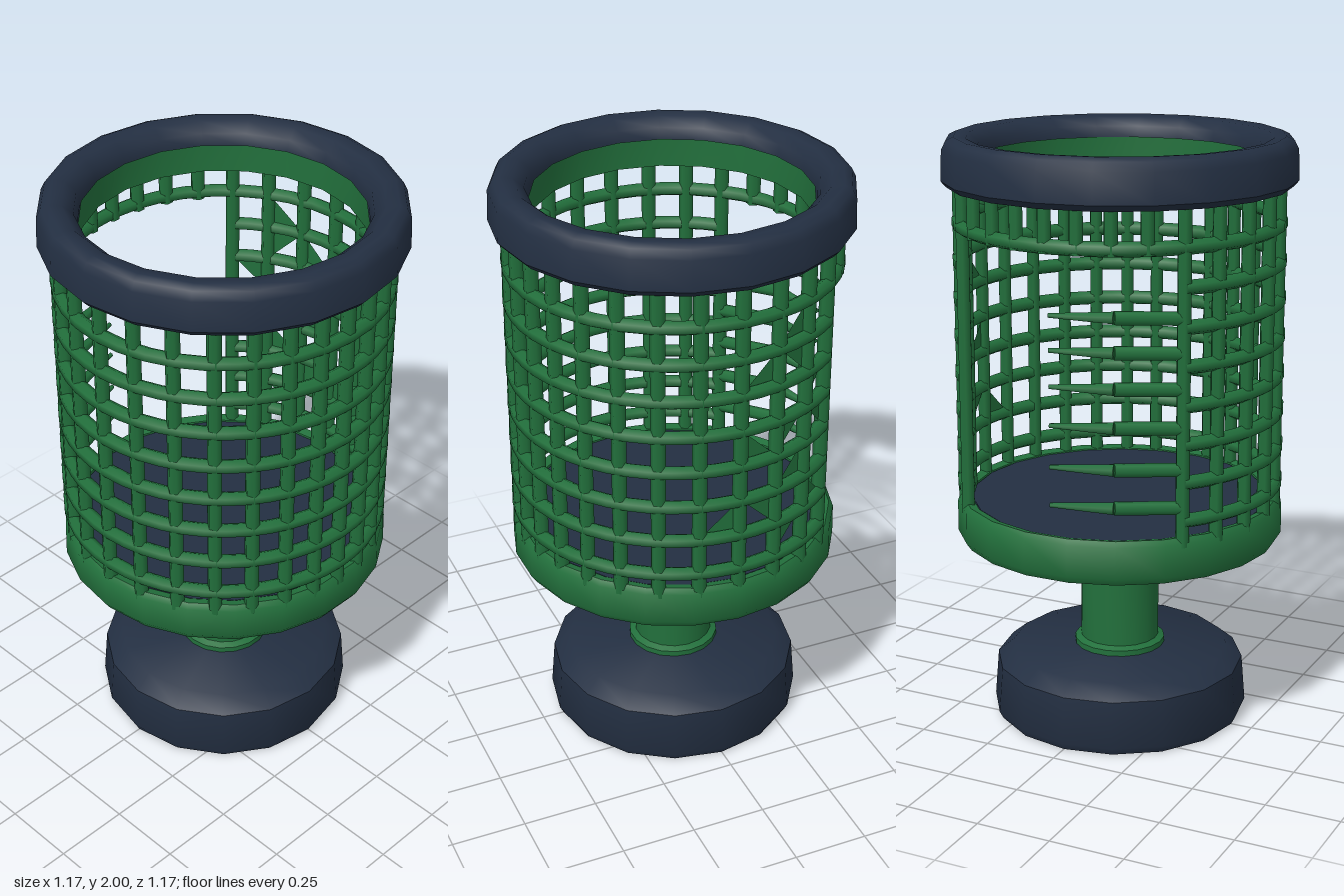
import * as THREE from 'three';
import { toCreasedNormals } from 'three/addons/utils/BufferGeometryUtils.js';

export function createModel() {
  const model = new THREE.Group();
  const navy = new THREE.MeshStandardMaterial({ color: 0x232f42 });
  navy.name = 'navy';
  const green = new THREE.MeshStandardMaterial({ color: 0x22703c });
  green.name = 'green';
  const greenSheet = new THREE.MeshStandardMaterial({ color: 0x22703c, side: THREE.DoubleSide });
  greenSheet.name = 'green sheet';

  const add = (name, geometry, material, parent = model) => {
    const mesh = new THREE.Mesh(geometry, material);
    mesh.name = name;
    parent.add(mesh);
    return mesh;
  };
  const lathe = (name, profile, sides, material) => {
    const points = profile.map(([r, y]) => new THREE.Vector2(r, y));
    return add(name, toCreasedNormals(new THREE.LatheGeometry(points, sides), 0.75), material);
  };
  // Angle 0 is the front, -90 degrees is the -x side
  const rad = THREE.MathUtils.degToRad;
  const around = (deg, r, y) => new THREE.Vector3(r * Math.sin(rad(deg)), y, r * Math.cos(rad(deg)));
  const bar = (name, a, b, rStart, rEnd, parent) => {
    const dir = b.clone().sub(a);
    const mesh = add(name, new THREE.CylinderGeometry(rEnd, rStart, dir.length(), 6), green, parent);
    mesh.position.copy(a).add(b).multiplyScalar(0.5);
    mesh.quaternion.setFromUnitVectors(new THREE.Vector3(0, 1, 0), dir.normalize());
    return mesh;
  };

  // Foot, stem and flanges
  lathe('foot', [[0, 0.005], [0.425, 0.005], [0.438, 0.03], [0.425, 0.19], [0.37, 0.235], [0, 0.245]], 16, navy);
  lathe('stem', [[0, 0.23], [0.155, 0.23], [0.155, 0.26], [0.134, 0.27], [0.134, 0.63],
    [0.152, 0.635], [0.152, 0.66], [0, 0.66]], 18, green);

  // Basket bottom and its inner floor
  lathe('basketTray', [[0, 0.645], [0.535, 0.645], [0.552, 0.67], [0.55, 0.775], [0.535, 0.792],
    [0.505, 0.785], [0.5, 0.74], [0, 0.74]], 22, green);
  lathe('basketFloor', [[0.51, 0.74], [0.5, 0.782], [0, 0.782]], 22, navy);

  // Top rim with a liner on the inside
  lathe('topRim', [[0.46, 1.85], [0.49, 1.84], [0.565, 1.84], [0.583, 1.86], [0.579, 1.96], [0.565, 1.988],
    [0.54, 2], [0.5, 1.995], [0.465, 1.965], [0.456, 1.92], [0.46, 1.85]], 20, navy);
  lathe('rimLiner', [[0.5, 1.835], [0.452, 1.835], [0.452, 1.93]], 20, greenSheet);

  // Wire basket, open in a window on the -x side
  const basket = new THREE.Group();
  basket.name = 'wireBasket';
  model.add(basket);
  const R = 0.525, wire = 0.024, count = 28;
  const barAngle = i => {
    const a = i * 360 / count;
    return a + 3.5 * Math.sin(rad(2 * a));
  };
  const rowY = j => 0.845 + 0.125 * j;
  for (let i = -13; i <= 14; i++) {
    const inWindow = i <= -4 && i >= -10;
    const a = barAngle(i);
    bar('uprightWire', around(a, R, inWindow ? 1.7 : 0.76), around(a, R, 1.86), wire, wire, basket);
  }

  // Horizontal wires
  class Arc extends THREE.Curve {
    constructor(from, to, y) { super(); Object.assign(this, { from, to, y }); }
    getPoint(t, target = new THREE.Vector3()) {
      return target.copy(around(this.from + (this.to - this.from) * t, R + 0.003, this.y));
    }
  }
  for (let j = 0; j < 8; j++) {
    const whole = j === 7;
    const curve = whole ? new Arc(-180, 180, rowY(j)) : new Arc(barAngle(-3), 360 + barAngle(-11), rowY(j));
    add('ringWire', new THREE.TubeGeometry(curve, 36, wire, 6, whole), green, basket);
  }

  // Broken wire ends reaching into the window
  for (const y of [0.9, 1.025, 1.16, 1.285, 1.4, 1.51]) {
    const root = around(barAngle(-3), R, y - 0.012);
    const middle = around(-66, R + 0.005, y);
    bar('brokenWire', root, middle, 0.022, 0.022, basket);
    bar('brokenWireTip', middle, around(-88, R + 0.015, y), 0.022, 0.008, basket);
  }

  // Bent scraps covering half of some cells at the back: [column, row, missing corner]
  const scraps = [[-11, 4, 0], [-11, 3, 1], [-12, 6, 2], [-12, 5, 1], [-12, 3, 0], [-12, 2, 2],
    [-13, 5, 2], [-13, 3, 3], [-13, 1, 1], [-14, 1, 2], [-12, 0, 0], [-11, 1, 3]];
  for (const [i, j, skip] of scraps) {
    const a = barAngle(i), b = barAngle(i - 1);
    const corners = [around(a, R, rowY(j)), around(b, R, rowY(j)),
      around(b, R, rowY(j + 1)), around(a, R, rowY(j + 1))].filter((_, k) => k !== skip);
    const geometry = new THREE.BufferGeometry().setFromPoints(corners);
    geometry.computeVertexNormals();
    add('bentScrap', geometry, greenSheet, basket);
  }
  return model;
}
